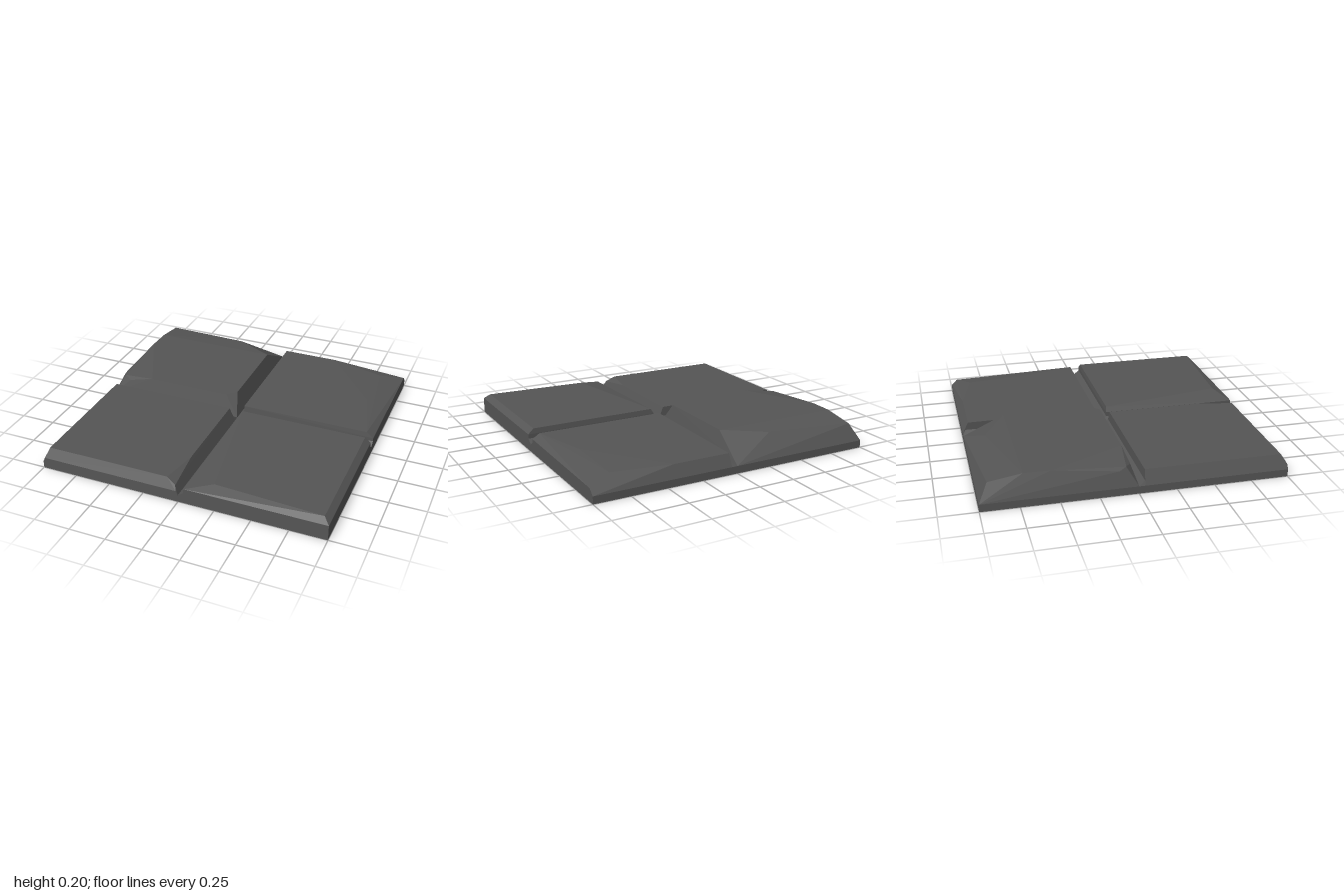
import * as THREE from 'three';
import { ConvexGeometry } from 'three/addons/geometries/ConvexGeometry.js';

// Each chipped stone is a convex block given by its corner points
function stone(name, points, material) {
  const geometry = new ConvexGeometry(points.map((p) => new THREE.Vector3(...p)));
  const mesh = new THREE.Mesh(geometry, material);
  mesh.name = name;
  return mesh;
}

// Four corners of a level rectangle
function rect(x0, x1, z0, z1, y) {
  return [[x0, y, z0], [x1, y, z0], [x1, y, z1], [x0, y, z1]];
}

export function createModel() {
  const group = new THREE.Group();
  group.name = 'stoneFloor';
  const rock = new THREE.MeshStandardMaterial({ color: 0x555555 });
  rock.name = 'dark grey stone';
  const add = (name, ...sets) => group.add(stone(name, sets.flat(), rock));

  // Tall stone, back left, with worn corners
  add('backLeftStone', rect(-1, 0, -1, 0, 0), rect(-1, 0, -1, 0, 0.05), [
    // groove-side rim
    [-0.70, 0.2, -0.04], [-0.10, 0.2, -0.04], [-0.04, 0.2, -0.10], [-0.04, 0.2, -0.72],
    // chipped back rim
    [-0.005, 0.07, -0.96], [-0.32, 0.187, -0.88], [-0.94, 0.165, -0.94],
    // outer rim and dipped front corner
    [-0.94, 0.2, -0.72], [-0.945, 0.2, -0.55], [-0.62, 0.2, -0.38],
    [-0.97, 0.155, -0.12], [-0.94, 0.167, -0.07], [-0.88, 0.157, -0.03],
  ]);

  // Low stone, back right, sloping to its outer and back edges
  add('backRightStone', rect(0.04, 1, -1, -0.035, 0),
    [[0.04, 0.05, -1], [1, 0.05, -1], [0.04, 0.075, -0.035], [1, 0.075, -0.035]], [
      [0.04, 0.135, -0.04], [0.95, 0.135, -0.04], [0.84, 0.135, -0.45],
      [0.83, 0.122, -0.87], [0.44, 0.132, -0.96], [0.04, 0.132, -0.96],
      [1, 0.1, -0.035], [1, 0.088, -0.96],
    ]);

  // Low stone, front left, with steep bevels
  add('frontLeftStone', rect(-1, 0, 0.04, 1, 0),
    [[-1, 0.05, 0.04], [0, 0.05, 0.04], [0, 0.05, 1], [-1, 0.05, 1]], [
      [-0.985, 0.08, 1], [-0.015, 0.08, 1], [-0.025, 0.11, 0.98],
      [-0.96, 0.145, 0.045], [-0.04, 0.145, 0.045], [-0.04, 0.145, 0.70],
      [-0.09, 0.145, 0.96], [-0.96, 0.145, 0.96],
    ]);

  // Low stone, front right, worn down towards the groove
  add('frontRightStone', rect(0.04, 1, 0.04, 1, 0), rect(0.04, 1, 0.04, 1, 0.11), [
    [0.06, 0.145, 0.045], [0.34, 0.145, 0.46], [0.22, 0.145, 0.92],
    [0.96, 0.145, 0.96], [0.96, 0.145, 0.045], [1, 0.11, 0.04],
  ]);

  // Sloping groove floors beside the three low stones
  add('backRightFooting', rect(0, 1, -1, 0, 0), rect(0, 1, -1, 0, 0.05),
    [[0.04, 0.078, -0.98], [0.04, 0.075, -0.035], [1, 0.075, -0.035]]);
  add('frontLeftFooting', rect(-1, 0, 0, 0.1, 0), rect(-1, 0, 0, 0.1, 0.05),
    [[-0.985, 0.08, 0.04], [-0.015, 0.08, 0.04]]);
  add('frontRightFooting', rect(0, 1, 0, 1, 0), rect(0, 1, 0, 1, 0.05),
    rect(0.04, 1, 0.04, 1, 0.08));

  return group;
}
